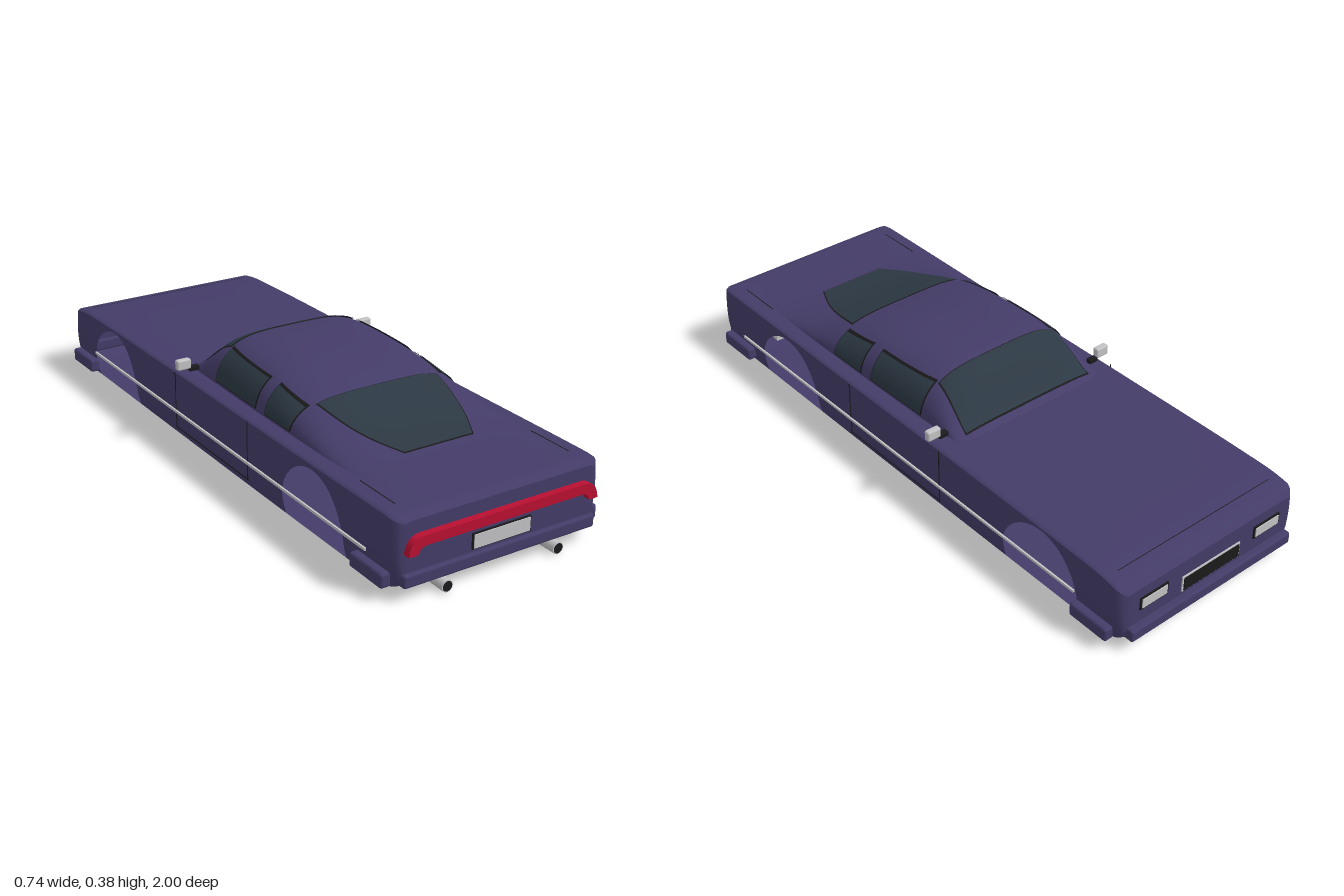
import * as THREE from 'three';
import { RoundedBoxGeometry } from 'three/addons/geometries/RoundedBoxGeometry.js';

const paint = (name, color, side = THREE.FrontSide) => {
  const m = new THREE.MeshStandardMaterial({ color, side });
  m.name = name;
  return m;
};

// Smooth curve through [position, value] pairs
const curve = (pts) => {
  const slope = pts.map((p, i) => {
    const a = pts[Math.max(i - 1, 0)], b = pts[Math.min(i + 1, pts.length - 1)];
    return (b[1] - a[1]) / (b[0] - a[0]);
  });
  return (z) => {
    let i = 0;
    while (i < pts.length - 2 && z > pts[i + 1][0]) i++;
    const [z0, a] = pts[i], [z1, b] = pts[i + 1], d = z1 - z0;
    const t = Math.min(1, Math.max(0, (z - z0) / d)), u = 1 - t;
    return a * u * u * (1 + 2 * t) + b * t * t * (3 - 2 * t) + d * t * u * (slope[i] * u - slope[i + 1] * t);
  };
};

// Surface grid from f(column, row) -> [x, y, z]
const grid = (nu, nv, f) => {
  const pos = [], idx = [];
  for (let i = 0; i <= nu; i++) for (let j = 0; j <= nv; j++) pos.push(...f(i, j));
  for (let i = 0; i < nu; i++) for (let j = 0; j < nv; j++) {
    const a = i * (nv + 1) + j, b = a + nv + 1;
    idx.push(a, a + 1, b, b, a + 1, b + 1);
  }
  const g = new THREE.BufferGeometry();
  g.setAttribute('position', new THREE.Float32BufferAttribute(pos, 3));
  g.setIndex(idx);
  g.computeVertexNormals();
  return g;
};

// Hull outline
const END = 0.978, ARCH_R = 0.156, ARCH_Y = 0.07;
const hullTop = curve([[-0.978, 0.2], [-0.95, 0.222], [-0.85, 0.236], [-0.3, 0.243], [0.3, 0.245], [0.92, 0.249], [0.96, 0.245], [0.978, 0.235]]);
const hullBottom = curve([[-0.978, 0.04], [-0.93, 0.018], [-0.85, 0.012], [0.85, 0.012], [0.94, 0.025], [0.978, 0.045]]);
const hullHalf = (z) => {
  const r = 0.035, k = Math.max(0, r - (END - Math.abs(z)));
  return 0.35 - r + Math.sqrt(Math.max(0, r * r - k * k));
};
const hullPoint = (z, t) => [
  hullHalf(z) * (1 - 0.06 * (1 - t) ** 4 - 0.02 * t ** 4),
  THREE.MathUtils.lerp(hullBottom(z), hullTop(z), t), z];

// Cabin outline
const BASE = 0.24;
const roof = curve([[-0.24, 0.24], [-0.2, 0.268], [-0.15, 0.32], [-0.1, 0.362], [-0.05, 0.379], [0.1, 0.381], [0.25, 0.368], [0.4, 0.335], [0.55, 0.292], [0.7, 0.264], [0.8, 0.257], [0.93, 0.249]]);
const cabinHalf = curve([[-0.24, 0.285], [0.1, 0.292], [0.5, 0.296], [0.93, 0.3]]);
const cabinY = (x, z, d) => BASE + (roof(z) + d - BASE) * Math.max(0, 1 - Math.abs(x / (cabinHalf(z) + d)) ** 4) ** (1 / 1.9);
const cabinX = (y, z, d) => (cabinHalf(z) + d) * Math.max(0, 1 - ((y - BASE) / (roof(z) + d - BASE)) ** 1.9) ** 0.25;

export function createModel() {
  const car = new THREE.Group();
  car.name = 'car';
  const body = paint('bodyPurple', 0x443c68, THREE.DoubleSide);
  const glass = paint('tintedGlass', 0x2c3843, THREE.DoubleSide);
  const black = paint('blackTrim', 0x1a1a1c, THREE.DoubleSide);
  const chrome = paint('chrome', 0xc2c2c4);
  const red = paint('tailRed', 0xba1032);

  const add = (name, geo, mat, x = 0, y = 0, z = 0) => {
    const m = new THREE.Mesh(geo, mat);
    m.name = name;
    m.position.set(x, y, z);
    car.add(m);
    return m;
  };
  const box = (name, mat, w, h, d, x, y, z, r = 0) =>
    add(name, r ? new RoundedBoxGeometry(w, h, d, 3, r) : new THREE.BoxGeometry(w, h, d), mat, x, y, z);

  // Stations along the car, with doubled columns at the arch edges
  const stations = [];
  for (const e of [0, 0.002, 0.006, 0.012, 0.02, 0.028, 0.036]) stations.push(-END + e, END - e);
  for (let i = 0; i <= 60; i++) stations.push(-0.93 + 1.86 * i / 60);
  stations.sort((a, b) => a - b);
  const arches = [-0.652, 0.58];
  const columns = stations.filter((z) => arches.every((c) => Math.abs(z - c) > ARCH_R)).map((z) => ({ z }));
  for (const c of arches) {
    columns.push({ z: c - ARCH_R });
    for (let k = 0; k <= 28; k++) {
      const a = Math.PI * k / 28;
      columns.push({ z: c - ARCH_R * Math.cos(a), y: ARCH_Y + ARCH_R * Math.sin(a) });
    }
    columns.push({ z: c + ARCH_R });
  }
  columns.sort((a, b) => a.z - b.z);

  // Hollow hull: sides with open arches, deck, floor and end panels
  const side = grid(columns.length - 1, 12, (i, j) => {
    const { z, y } = columns[i];
    const t0 = y ? (y - hullBottom(z)) / (hullTop(z) - hullBottom(z)) : 0.05;
    return hullPoint(z, THREE.MathUtils.lerp(t0, 0.965, j / 12));
  });
  add('leftSide', side, body);
  add('rightSide', side, body).scale.x = -1;
  const across = (t, inset) => grid(stations.length - 1, 6, (i, j) => {
    const z = stations[i], [ex, ey] = hullPoint(z, t), flat = hullPoint(z, Math.round(t))[1];
    const s = [-1, -inset, -0.5, 0, 0.5, inset, 1][j];
    return [ex * s, Math.abs(s) === 1 ? ey : flat, z];
  });
  add('deck', across(0.965, 0.97), body);
  add('floor', across(0.05, 0.86), body);
  for (const z of [-END, END]) {
    add(z > 0 ? 'rearPanel' : 'nosePanel', grid(1, 14, (i, j) => {
      const [x, y] = hullPoint(z, j / 14);
      return [i ? x : -x, y, z];
    }), body);
  }

  // Cabin shell
  add('cabin', grid(90, 56, (i, j) => {
    const z = -0.24 + 1.17 * i / 90, a = Math.PI * j / 56, c = Math.cos(a);
    return [cabinHalf(z) * Math.sign(c) * Math.sqrt(Math.abs(c)),
      BASE + (roof(z) - BASE) * Math.abs(Math.sin(a)) ** (2 / 1.9), z];
  }), body);

  // Windows following the cabin, each over a slightly larger black seal
  const pane = (name, z0, z1, place) => {
    for (const [label, mat, d, m] of [['Seal', black, 0.0025, 0.004], ['Glass', glass, 0.0045, 0]]) {
      const a = z0 - m, b = z1 + m;
      const g = grid(20, 20, (i, j) => place(a + (b - a) * i / 20, j / 20, d, m));
      add(name + label, g, mat);
      if (name.startsWith('left')) add(name.replace('left', 'right') + label, g, mat).scale.x = -1;
    }
  };
  const topPane = (halfWidth) => (z, v, d, m) => {
    const x = (2 * v - 1) * (halfWidth(z) + m);
    return [x, cabinY(x, z, d), z];
  };
  const sidePane = (upper) => (z, v, d, m) => {
    const y = THREE.MathUtils.lerp(0.257 - m, upper(z) + m, v);
    return [cabinX(y, z, d), y, z];
  };
  pane('windscreen', -0.212, -0.065, topPane(curve([[-0.22, 0.245], [-0.06, 0.225]])));
  pane('rearWindow', 0.4, 0.695, topPane(curve([[0.39, 0.212], [0.5, 0.192], [0.6, 0.162], [0.7, 0.115]])));
  pane('leftDoorWindow', -0.05, 0.193, sidePane(curve([[-0.05, 0.35], [0.2, 0.34]])));
  pane('leftQuarterWindow', 0.247, 0.385, sidePane(curve([[0.24, 0.338], [0.39, 0.316]])));

  // Bumpers
  box('rearBumper', body, 0.65, 0.04, 0.03, 0, 0.065, 0.976, 0.008);
  box('frontBumper', body, 0.64, 0.04, 0.035, 0, 0.06, -0.9825, 0.008);

  for (const s of [-1, 1]) {
    // Bumper ends, side trim, mirrors and exhausts
    box('rearBumperEnd', body, 0.034, 0.045, 0.15, s * 0.354, 0.063, 0.875, 0.009);
    box('frontBumperEnd', body, 0.034, 0.045, 0.145, s * 0.354, 0.058, -0.875, 0.009);
    box('sideTrim', chrome, 0.006, 0.008, 1.65, s * 0.351, 0.108, 0.025);
    box('mirror', chrome, 0.048, 0.034, 0.022, s * 0.339, 0.278, -0.172, 0.006);
    box('mirrorStalk', black, 0.034, 0.016, 0.02, s * 0.303, 0.259, -0.172, 0.004);
    const pipe = add('exhaustPipe', new THREE.CylinderGeometry(0.018, 0.018, 0.12, 24), chrome, s * 0.19, 0.02, 0.938);
    pipe.rotation.x = Math.PI / 2;
    add('exhaustOpening', new THREE.CircleGeometry(0.0155, 24), black, s * 0.19, 0.02, 0.9985);

    // Headlights
    box('headlightFrame', black, 0.106, 0.042, 0.008, s * 0.225, 0.145, -0.978);
    box('headlight', chrome, 0.094, 0.03, 0.008, s * 0.225, 0.145, -0.981);

    // Door, bonnet and boot seams
    for (const z of [0.235, -0.21]) box('doorSeam', black, 0.002, 0.19, 0.003, s * 0.3485, 0.145, z);
    box('doorBottomSeam', black, 0.002, 0.003, 0.445, s * 0.3455, 0.05, 0.0125);
    box('bootSeam', black, 0.003, 0.002, 0.16, s * 0.295, 0.2485, 0.82);
  }
  box('bonnetSeam', black, 0.6, 0.002, 0.003, 0, 0.2295, -0.91);

  // Grille
  box('grilleFrame', chrome, 0.23, 0.052, 0.008, 0, 0.12, -0.978);
  box('grille', black, 0.22, 0.043, 0.008, 0, 0.12, -0.981);

  // Arched tail light band
  const band = new THREE.Shape();
  band.moveTo(-0.32, 0.143);
  band.bezierCurveTo(-0.315, 0.175, -0.305, 0.195, -0.27, 0.195);
  band.lineTo(0.27, 0.195);
  band.bezierCurveTo(0.305, 0.195, 0.315, 0.175, 0.32, 0.143);
  band.lineTo(0.29, 0.143);
  band.quadraticCurveTo(0.286, 0.164, 0.262, 0.165);
  band.lineTo(-0.262, 0.165);
  band.quadraticCurveTo(-0.286, 0.164, -0.29, 0.143);
  add('tailLight', new THREE.ExtrudeGeometry(band, { depth: 0.025, bevelEnabled: false, curveSegments: 10 }), red, 0, 0, 0.975);

  // Rear plate
  box('plateFrame', black, 0.198, 0.048, 0.008, 0, 0.118, 0.979);
  box('plate', chrome, 0.19, 0.041, 0.008, 0, 0.118, 0.982);

  return car;
}
